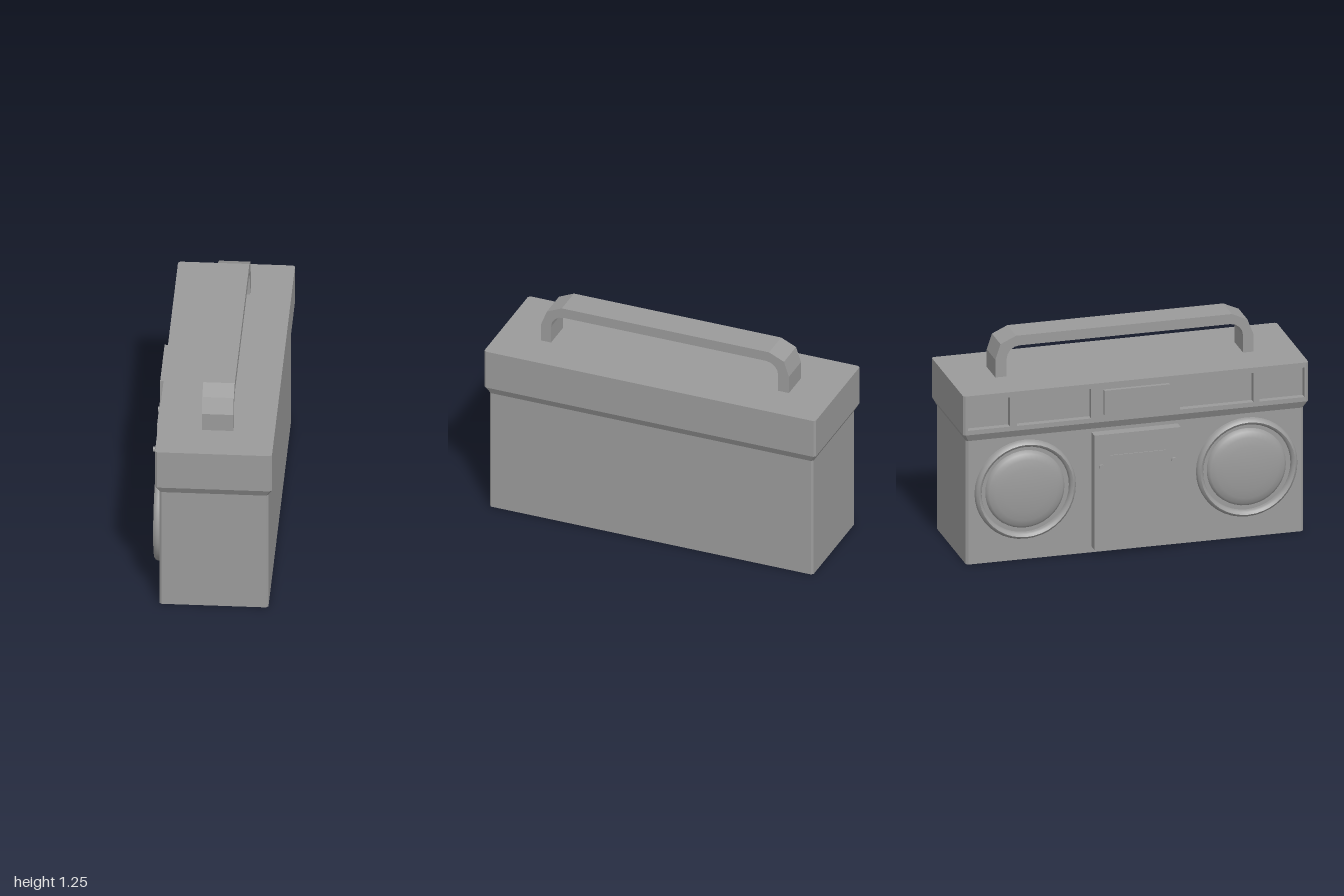
import * as THREE from 'three';
import { toCreasedNormals } from 'three/addons/utils/BufferGeometryUtils.js';

const mat = new THREE.MeshStandardMaterial({ color: 0x9b9b9b, side: THREE.DoubleSide });

export function createModel() {
  const model = new THREE.Group();

  function add(name, geometry, x = 0, y = 0, z = 0) {
    const mesh = new THREE.Mesh(geometry, mat);
    mesh.name = name;
    mesh.position.set(x, y, z);
    model.add(mesh);
    return mesh;
  }
  // Box given by its extents
  const box = (name, x0, x1, y0, y1, z0, z1) => add(name,
    new THREE.BoxGeometry(x1 - x0, y1 - y0, z1 - z0), (x0 + x1) / 2, (y0 + y1) / 2, (z0 + z1) / 2);
  // Outline drawn in (z, y) and extruded towards -x
  function plate(name, shape, x, depth) {
    const geo = new THREE.ExtrudeGeometry(shape, { depth, bevelEnabled: false, curveSegments: 2 });
    add(name, geo, x).rotation.y = -Math.PI / 2;
  }
  // Profile of [radius, distance along -x] turned about the x axis
  function turned(name, profile, y, z) {
    const geo = new THREE.LatheGeometry(profile.map(p => new THREE.Vector2(...p)), 40);
    add(name, toCreasedNormals(geo, 0.7), 0, y, z).rotation.z = Math.PI / 2;
  }

  // Case: hollow shell, open below, with chamfered corners and a flared upper part
  const ring = (y, x0, x1, z, c = 0.012) => [
    [x1, y, z - c], [x1, y, c - z], [x1 - c, y, -z], [x0 + c, y, -z],
    [x0, y, c - z], [x0, y, z - c], [x0 + c, y, z], [x1 - c, y, z]];
  const rings = [
    ring(0, -0.274, 0.335, 0.977), ring(0.735, -0.274, 0.335, 0.977),
    ring(0.778, -0.297, 0.356, 1), ring(1.01, -0.297, 0.356, 1)];
  const pos = [];
  for (let r = 0; r < 3; r++) {
    for (let i = 0; i < 8; i++) {
      if (r === 2 && i === 4) continue; // closed by the window frame
      const j = (i + 1) % 8;
      const a = rings[r][i], b = rings[r][j], c = rings[r + 1][j], d = rings[r + 1][i];
      pos.push(...a, ...b, ...c, ...a, ...c, ...d);
    }
  }
  const top = rings[3];
  for (let i = 1; i < 7; i++) pos.push(...top[0], ...top[i], ...top[i + 1]);
  const caseGeo = new THREE.BufferGeometry();
  caseGeo.setAttribute('position', new THREE.Float32BufferAttribute(pos, 3));
  caseGeo.computeVertexNormals();
  add('case', caseGeo);

  // Control strip with four recessed windows
  const rect = (Type, z0, z1, y0, y1) => new Type([
    new THREE.Vector2(z0, y0), new THREE.Vector2(z1, y0),
    new THREE.Vector2(z1, y1), new THREE.Vector2(z0, y1)]);
  const frame = rect(THREE.Shape, -0.988, 0.988, 0.778, 1.01);
  for (const [z0, z1] of [[-0.975, -0.73], [-0.69, -0.26], [0.255, 0.68], [0.715, 0.975]]) {
    frame.holes.push(rect(THREE.Path, z0, z1, 0.805, 0.98));
  }
  plate('windowFrame', frame, -0.257, 0.04);
  box('windowBacks', -0.259, -0.252, 0.785, 1.0, -0.985, 0.985);
  box('display', -0.32, -0.29, 0.825, 0.97, -0.19, 0.19);

  // Central cassette panel, its door and two knobs
  box('cassettePanel', -0.334, -0.266, 0.035, 0.715, -0.252, 0.248);
  box('cassetteDoor', -0.34, -0.33, 0.46, 0.59, -0.16, 0.16);
  for (const z of [-0.215, 0.205]) {
    turned('knob', [[0, 0.346], [0.015, 0.346], [0.015, 0.358], [0, 0.358]], 0.53, z);
  }

  // Speakers: a rounded rim running into the case, and a domed cone
  for (const z of [-0.638, 0.645]) {
    turned('speakerRim', [
      [0.255, 0.274], [0.255, 0.195], [0.292, 0.195], [0.292, 0.288], [0.286, 0.303],
      [0.274, 0.312], [0.261, 0.305], [0.255, 0.291], [0.255, 0.274]], 0.418, z);
    turned('speakerCone', [
      [0.23, 0.27], [0.227, 0.283], [0.213, 0.294], [0.18, 0.304],
      [0.13, 0.312], [0.07, 0.317], [0, 0.319]], 0.418, z);
  }

  // Carrying handle: faceted outer corners, rounder inside
  const h = new THREE.Shape();
  h.moveTo(-0.745, 1.0);
  h.lineTo(-0.745, 1.115);
  h.lineTo(-0.715, 1.205);
  h.lineTo(-0.625, 1.246);
  h.lineTo(0.625, 1.246);
  h.lineTo(0.715, 1.205);
  h.lineTo(0.75, 1.115);
  h.lineTo(0.75, 1.0);
  h.lineTo(0.69, 1.0);
  h.absarc(0.615, 1.112, 0.075, 0, Math.PI / 2, false);
  h.absarc(-0.605, 1.112, 0.075, Math.PI / 2, Math.PI, false);
  h.lineTo(-0.68, 1.0);
  plate('handle', h, 0.125, 0.176);

  return model;
}
